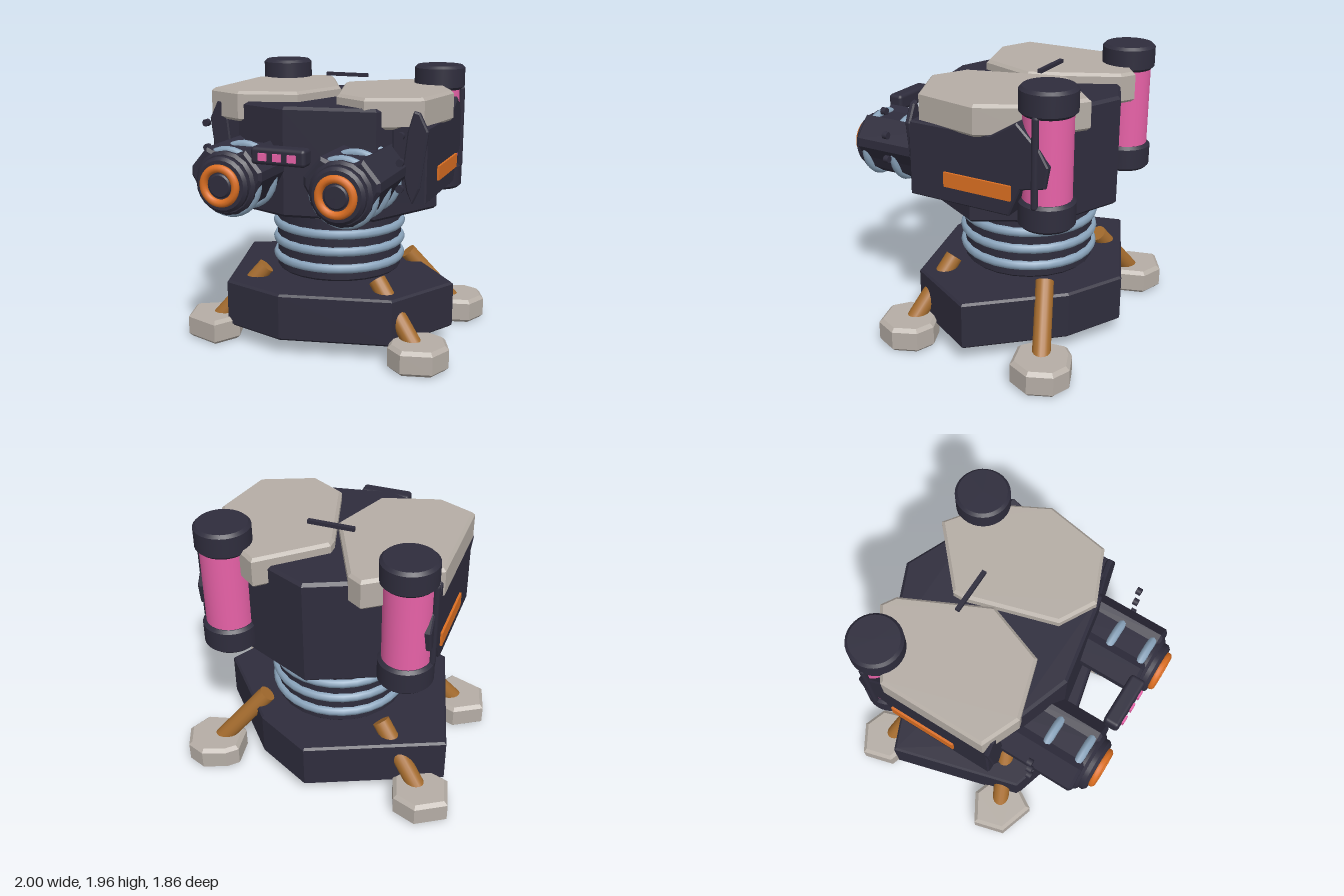
import * as THREE from 'three';
import { RoundedBoxGeometry } from 'three/addons/geometries/RoundedBoxGeometry.js';

const material = (name, color) => {
  const m = new THREE.MeshStandardMaterial({ color });
  m.name = name;
  return m;
};

export function createModel() {
  const dark = material('dark metal', 0x2f2d3d);
  const light = material('pale armour', 0xb5ada5);
  const orange = material('orange glow', 0xdc6f22);
  const brown = material('copper', 0xa56c2e);
  const blue = material('steel blue', 0x8aa4bc);
  const pink = material('pink energy', 0xe862a8);

  const root = new THREE.Group();
  root.name = 'turret';

  const add = (name, geo, mat, x = 0, y = 0, z = 0) => {
    const m = new THREE.Mesh(geo, mat);
    m.name = name;
    m.position.set(x, y, z);
    root.add(m);
    return m;
  };

  // Bevelled prism whose outline keeps its exact size
  const prism = (points, depth, bevel) => new THREE.ExtrudeGeometry(
    new THREE.Shape(points.map(([a, b]) => new THREE.Vector2(a, b))),
    { depth: depth - 2 * bevel, bevelEnabled: bevel > 0, bevelThickness: bevel, bevelSize: bevel, bevelOffset: -bevel, bevelSegments: 1 },
  ).translate(0, 0, bevel);

  // Slab from a floor plan of [x, z] points
  const slab = (name, plan, y0, y1, bevel, mat) =>
    add(name, prism(plan.map(([x, z]) => [x, -z]), y1 - y0, bevel).rotateX(-Math.PI / 2), mat, 0, y0, 0);

  const disc = (r, h, seg = 32, bevel = 0.02) => new THREE.LatheGeometry([
    [0, -h / 2], [r - bevel, -h / 2], [r - bevel, -h / 2], [r, -h / 2 + bevel], [r, -h / 2 + bevel],
    [r, h / 2 - bevel], [r, h / 2 - bevel], [r - bevel, h / 2], [r - bevel, h / 2], [0, h / 2],
  ].map(([a, b]) => new THREE.Vector2(a, b)), seg);

  // Base slab
  slab('base', [[0, -0.93], [0.4, -0.72], [0.89, -0.17], [0.6, 0.36], [-0.17, 0.54], [-0.64, 0.4], [-0.9, -0.54]],
    0.12, 0.46, 0.015, dark);

  // Feet and struts
  const feet = {
    left: [[0.57, 0.25], [0.64, 0.18], [0.8, 0.12], [0.93, 0.17], [1, 0.33], [0.93, 0.49], [0.72, 0.545], [0.6, 0.45]],
    right: [[-1, 0.24], [-0.8, 0.12], [-0.63, 0.18], [-0.57, 0.36], [-0.68, 0.545], [-0.94, 0.46]],
  };
  for (const [side, plan] of Object.entries(feet)) {
    const s = side === 'left' ? 1 : -1;
    for (const [place, dz, topZ] of [['Front', 0, 0.18], ['Back', -1.05, -0.55]]) {
      slab(`${side}${place}Foot`, plan.map(([x, z]) => [x, z + dz]), 0, 0.18, 0.025, light);
      const a = new THREE.Vector3(s * 0.78, 0.1, dz ? -0.71 : 0.33);
      const b = new THREE.Vector3(s * 0.43, 0.53, topZ);
      const dir = b.clone().sub(a);
      const strut = add(`${side}${place}Strut`, new THREE.CylinderGeometry(0.062, 0.062, dir.length(), 16), brown);
      strut.position.copy(a).add(b).multiplyScalar(0.5);
      strut.quaternion.setFromUnitVectors(new THREE.Vector3(0, 1, 0), dir.normalize());
    }
  }

  // Ribbed neck
  add('neck', disc(0.46, 0.47, 24, 0.015), dark, 0, 0.735, -0.19);
  for (const y of [0.595, 0.72, 0.845]) {
    add('neckRing', new THREE.TorusGeometry(0.455, 0.035, 8, 32).rotateX(Math.PI / 2), blue, 0, y, -0.19);
  }

  // Main body
  slab('body', [[0, -0.86], [0.48, -0.65], [0.75, -0.16], [0.47, 0.36], [-0.15, 0.47], [-0.55, 0.33], [-0.75, -0.1], [-0.5, -0.64]],
    1, 1.76, 0.02, dark);

  // Top armour plates
  slab('rightTopArmour', [[-0.8, 0.25], [-0.8, -0.5], [-0.36, -0.81], [-0.26, -0.75], [0.015, -0.175], [-0.14, 0.24], [-0.54, 0.36]],
    1.62, 1.83, 0.02, light);
  slab('leftTopArmour', [[0.35, -0.81], [-0.04, -0.46], [-0.04, -0.39], [0.14, 0.23], [0.385, 0.365], [0.75, 0.21], [0.83, -0.24], [0.64, -0.6]],
    1.62, 1.83, 0.02, light);
  add('antennaBar', new THREE.BoxGeometry(0.32, 0.025, 0.03), dark, 0, 1.895, -0.345);

  // Side-panel outline as [z, y]
  const panel = [[0.27, 1.13], [-0.47, 1.13], [-0.55, 1.32], [-0.72, 1.36], [-0.74, 1.5], [-0.68, 1.6], [-0.52, 1.75], [-0.34, 1.64], [0.27, 1.64]];
  const boltPlate = [[-0.1, 0.18], [-0.04, 0.3], [0, 0.31], [0.04, 0.18], [0.07, -0.08], [0.04, -0.23], [0, -0.31], [-0.05, -0.2]];
  // Gun-housing half outline, mirrored into a full loop
  const half = [[0.08, 0.2], [0.14, 0.225], [0.255, 0.09], [0.255, 0.03], [0.2, -0.06], [0.16, -0.14], [0.07, -0.2]];
  const housing = [...half, ...half.map(([x, y]) => [-x, y]).reverse()];

  for (const s of [1, -1]) {
    const side = s > 0 ? 'left' : 'right';

    // Side panel with glowing strip
    add(`${side}SidePanel`, prism(panel.map(([z, y]) => [-z, y]), 0.24, 0.01).rotateY(Math.PI / 2), dark, s > 0 ? 0.55 : -0.79, 0, 0);
    add(`${side}GlowStrip`, new THREE.BoxGeometry(0.025, 0.1, 0.49), orange, s * 0.793, 1.29, -0.245);

    // Bolted front plate
    add(`${side}BoltPlate`, prism(boltPlate.map(([x, y]) => [-s * x * -1 * -1, y]).map(([x, y]) => [-x * -1, y]), 0.04, 0.01),
      dark, s * 0.7, 1.44, 0.25);
    for (const y of [1.63, 1.46, 1.29]) {
      add(`${side}Bolt`, new THREE.CylinderGeometry(0.025, 0.025, 0.035, 12).rotateX(Math.PI / 2), dark, s * 0.69, y, 0.53);
    }

    // Energy canister
    const cx = s * 0.615, cz = -0.65;
    add(`${side}CanisterGlass`, new THREE.CylinderGeometry(0.16, 0.16, 0.6, 32), pink, cx, 1.51, cz);
    add(`${side}CanisterTop`, disc(0.185, 0.175), dark, cx, 1.875, cz);
    add(`${side}CanisterBottom`, disc(0.185, 0.185), dark, cx, 1.145, cz);
    add(`${side}CanisterRod`, new THREE.CapsuleGeometry(0.024, 0.56, 4, 8), dark, s * 0.785, 1.51, cz);

    // Gun: housing, rings, muzzle
    const gx = s * 0.4, gy = 1.295;
    add(`${side}GunHousing`, prism(housing, 0.72, 0.02), dark, gx, gy, 0.1);
    for (const z of [0.32, 0.535, 0.77]) {
      add(`${side}GunRing`, new THREE.TorusGeometry(0.208, 0.03, 8, 32), blue, gx, gy, z);
    }
    add(`${side}GunCollar`, disc(0.215, 0.06, 16).rotateX(Math.PI / 2), dark, gx, gy, 0.81);
    add(`${side}GunBezel`, disc(0.185, 0.08, 24).rotateX(Math.PI / 2), dark, gx, gy, 0.85);
    add(`${side}MuzzleRing`, new THREE.TorusGeometry(0.115, 0.027, 10, 32), orange, gx, gy, 0.902);
    add(`${side}MuzzleCore`, disc(0.08, 0.03, 24, 0.01).rotateX(Math.PI / 2), dark, gx, gy, 0.895);
  }

  // Sensor bar with three lights
  add('sensorBar', new RoundedBoxGeometry(0.375, 0.115, 0.11, 2, 0.025), dark, 0, 1.508, 0.825);
  for (const x of [-0.1, 0, 0.1]) {
    add('sensorLight', new THREE.BoxGeometry(0.057, 0.048, 0.02), pink, x, 1.505, 0.883);
  }

  return root;
}
